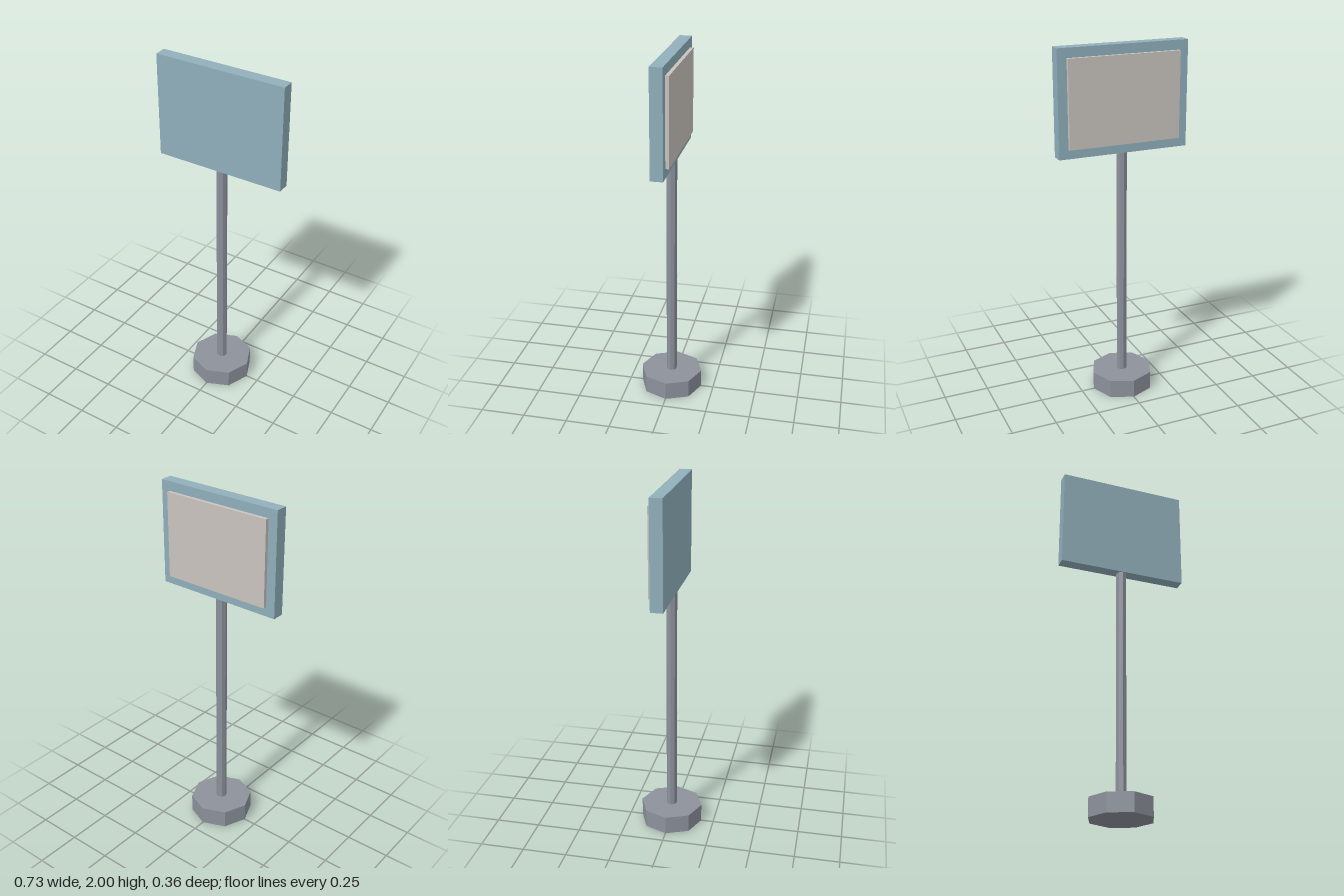
import * as THREE from 'three';

export function createModel() {
  const model = new THREE.Group();
  model.name = 'signpost';

  const material = (name, color) => {
    const m = new THREE.MeshStandardMaterial({ color, flatShading: true });
    m.name = name;
    return m;
  };
  const metal = material('grey metal', 0x8c919b);
  const blue = material('dusty blue', 0x90afbb);
  const pale = material('pale grey', 0xc9c4be);

  const add = (name, geometry, mat, y, z = 0) => {
    const mesh = new THREE.Mesh(geometry, mat);
    mesh.name = name;
    mesh.position.set(0, y, z);
    model.add(mesh);
  };

  // Octagonal foot and slim post
  add('base', new THREE.CylinderGeometry(0.178, 0.178, 0.105, 8), metal, 0.0525);
  add('post', new THREE.CylinderGeometry(0.03, 0.03, 1.33, 8), metal, 0.765);

  // Sign board with a raised panel on its back
  add('board', new THREE.BoxGeometry(0.734, 0.578, 0.068), blue, 1.711);
  add('backPanel', new THREE.BoxGeometry(0.63, 0.474, 0.022), pale, 1.711, -0.043);

  return model;
}
